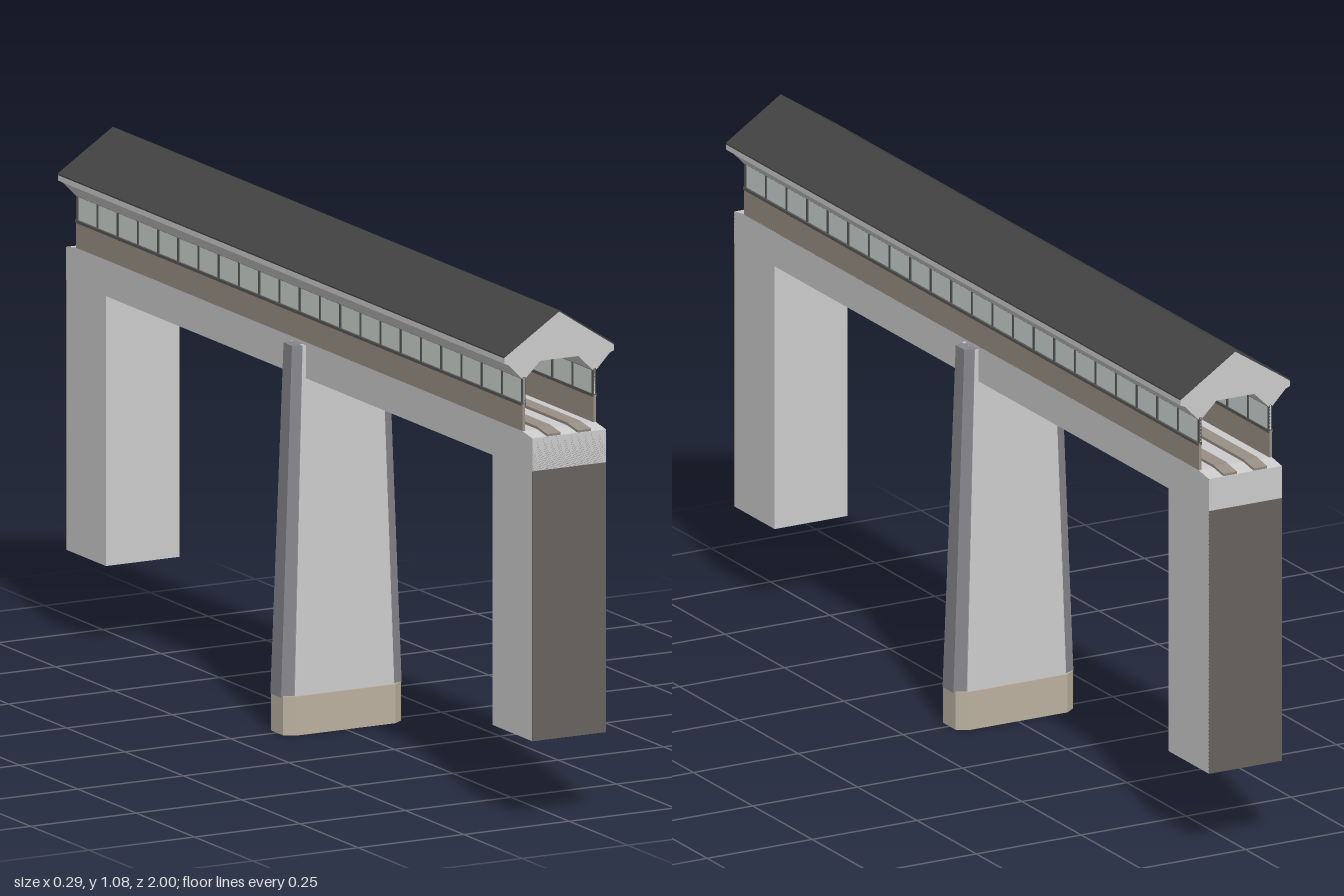
import * as THREE from 'three';

const mat = (color = 0xcccccc) => new THREE.MeshStandardMaterial({ color, side: THREE.DoubleSide });
const stone = mat(), dark = mat(0x444444), timber = mat(0x988f85), frame = mat(0x555555);
const footingMat = mat(0xbab09f), noseMat = mat(0x85858a), glass = mat(0xccd4d0), endMat = mat(0x66625e);

function add(parent, name, geometry, material, x = 0, y = 0, z = 0) {
  const mesh = new THREE.Mesh(geometry, material);
  mesh.name = name;
  mesh.position.set(x, y, z);
  parent.add(mesh);
  return mesh;
}

// box given by its lower and upper corner
function block(parent, name, a, b, material) {
  const g = new THREE.BoxGeometry(b[0] - a[0], b[1] - a[1], b[2] - a[2]);
  return add(parent, name, g, material, (a[0] + b[0]) / 2, (a[1] + b[1]) / 2, (a[2] + b[2]) / 2);
}

const outline = pts => new THREE.Shape(pts.map(p => new THREE.Vector2(...p)));

// front profile mirrored in x (points from right side, top to bottom) and extruded along z
function longProfile(pts, halfLength) {
  const left = pts.filter(p => p[0] > 0).map(([x, y]) => [-x, y]).reverse();
  const g = new THREE.ExtrudeGeometry(outline([...pts, ...left]), { depth: 2 * halfLength, bevelEnabled: false });
  return g.translate(0, 0, -halfLength);
}

// plan with chamfered or square ends, raised to a height and tapered toward the top
function taperedPrism(xIn, xOut, zIn, zOut, height, sx, sz) {
  const plan = [[xOut, -zOut], [xOut, zOut], [xIn, zIn], [-xIn, zIn],
    [-xOut, zOut], [-xOut, -zOut], [-xIn, -zIn], [xIn, -zIn]];
  const g = new THREE.ExtrudeGeometry(outline(plan), { depth: height, bevelEnabled: false });
  g.rotateX(-Math.PI / 2);
  const p = g.attributes.position;
  for (let i = 0; i < p.count; i++) {
    const t = p.getY(i) / height;
    p.setX(i, p.getX(i) * (1 + (sx - 1) * t));
    p.setZ(i, p.getZ(i) * (1 + (sz - 1) * t));
  }
  g.computeVertexNormals();
  return g;
}

export function createModel() {
  const bridge = new THREE.Group();
  bridge.name = 'coveredBridge';
  const L = 0.957; // half length of the covered part

  // deck beam, with its top sloping down at both ends
  const side = outline([[-1, 0.755], [1, 0.755], [1, 0.825], [L, 0.832], [-L, 0.832], [-1, 0.825]]);
  const beam = new THREE.ExtrudeGeometry(side, { depth: 0.174, bevelEnabled: false });
  beam.translate(0, 0, -0.087).rotateY(Math.PI / 2);
  add(bridge, 'deckBeam', beam, stone);

  // wheel runners along the deck
  for (const s of [-1, 1]) {
    const x = s * 0.036;
    block(bridge, 'runner', [x - 0.016, 0.83, -L], [x + 0.016, 0.838, L], timber);
    for (const e of [-1, 1]) {
      const ramp = block(bridge, 'runnerRamp', [x - 0.016, 0.828, -0.022], [x + 0.016, 0.834, 0.021], timber);
      ramp.position.z = e * 0.978;
      ramp.rotation.x = e * 0.16;
    }
  }

  // abutments with dark end faces
  for (const e of [-1, 1]) {
    block(bridge, 'abutment', [-0.087, 0.18, e * 0.914 - 0.085], [0.087, 0.756, e * 0.914 + 0.085], stone);
    block(bridge, 'abutmentEnd', [-0.087, 0.18, e * 0.999 - 0.001], [0.087, 0.825, e * 0.999 + 0.001], endMat);
  }

  // central pier
  const pier = new THREE.Group();
  pier.name = 'pier';
  bridge.add(pier);
  add(pier, 'footing', taperedPrism(0.118, 0.14, 0.042, 0.026, 0.083, 1, 0.98), footingMat);
  add(pier, 'pierCore', taperedPrism(0.116, 0.118, 0.038, 0.037, 0.745, 0.8, 0.75), stone, 0, 0.08, 0);
  add(pier, 'pierNoses', taperedPrism(0.116, 0.143, 0.035, 0.023, 0.745, 0.8, 0.78), noseMat, 0, 0.08, 0);

  // side walls: boarding, rail, window band and posts
  const bays = 22;
  for (const s of [-1, 1]) {
    const wall = new THREE.Group();
    wall.name = s > 0 ? 'leftWall' : 'rightWall';
    bridge.add(wall);
    const slab = (name, x0, x1, y0, y1, z0, z1, m) =>
      block(wall, name, [Math.min(s * x0, s * x1), y0, z0], [Math.max(s * x0, s * x1), y1, z1], m);
    slab('boarding', 0.081, 0.087, 0.83, 0.89, -L, L, timber);
    slab('rail', 0.079, 0.09, 0.886, 0.892, -L, L, frame);
    slab('windowBand', 0.082, 0.085, 0.89, 0.946, -L, L, glass);
    slab('topRail', 0.08, 0.087, 0.942, 0.947, -L, L, frame);
    for (let i = 0; i <= bays; i++) {
      const z = -L + 0.003 + (i / bays) * (2 * L - 0.006);
      slab('post', 0.08, 0.087, 0.89, 0.946, z - 0.003, z + 0.003, frame);
    }
  }

  // roof body with gables, sloped soffits and braced ceiling
  add(bridge, 'roofBody', longProfile([[0, 1.077], [0.13, 0.992], [0.13, 0.98], [0.12, 0.976],
    [0.088, 0.943], [0.08, 0.943], [0.045, 0.977]], L), stone);
  // dark roof covering
  add(bridge, 'roofCovering', longProfile([[0, 1.08], [0.131, 0.995], [0.131, 0.992], [0, 1.077]], L), dark);

  return bridge;
}
